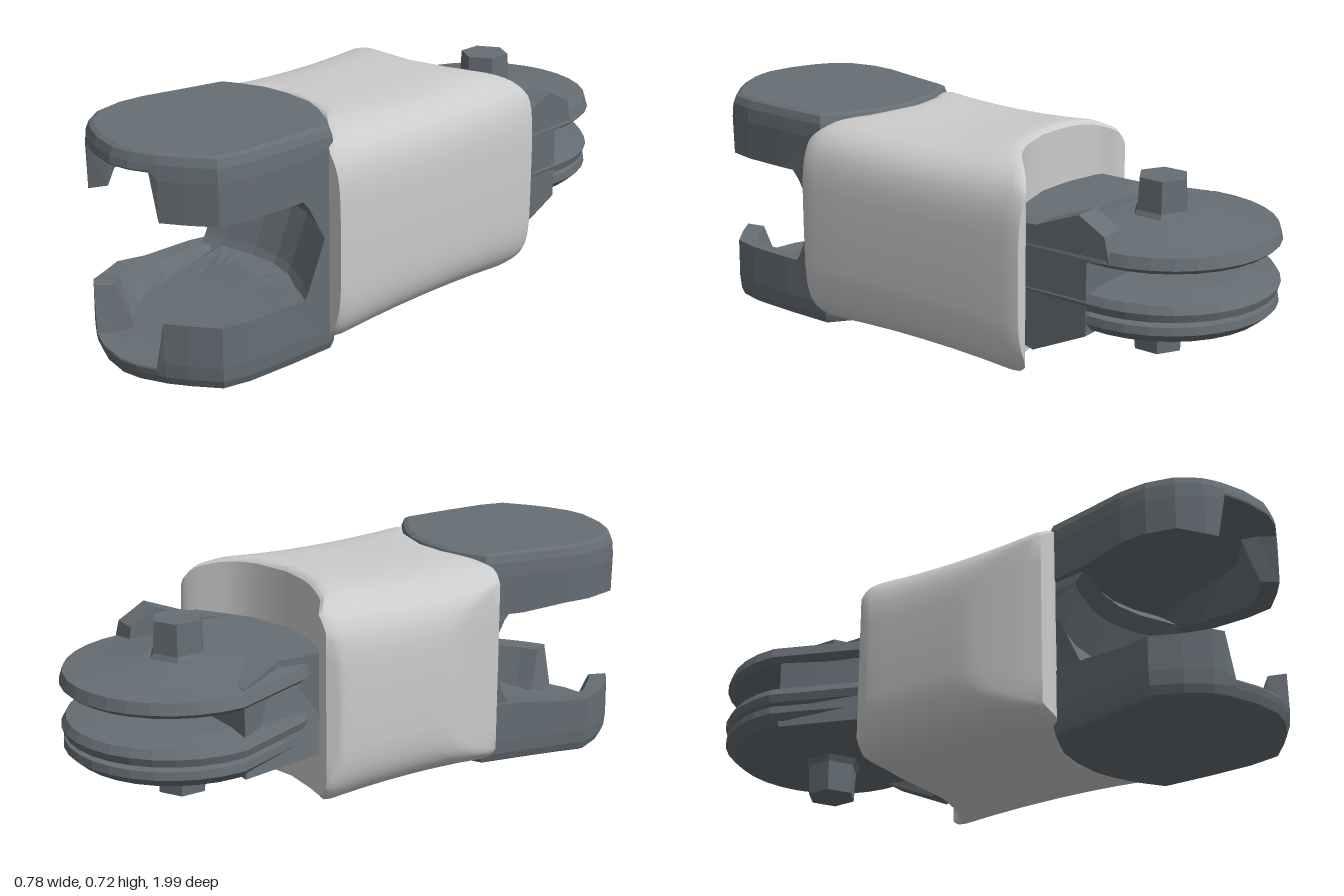
import * as THREE from 'three';
import { toCreasedNormals } from 'three/addons/utils/BufferGeometryUtils.js';

const dark = new THREE.MeshStandardMaterial({ color: 0x666e74, flatShading: true });
const grey = new THREE.MeshStandardMaterial({ color: 0xcccccc });

// Skin a list of equal-length rings, optionally closing each end on its middle point
function loft(rings, capped = true) {
  const n = rings[0].length, pos = rings.flat(2), index = [];
  const at = (i, j) => i * n + (j % n);
  for (let i = 0; i < rings.length - 1; i++)
    for (let j = 0; j < n; j++)
      index.push(at(i, j), at(i, j + 1), at(i + 1, j + 1), at(i, j), at(i + 1, j + 1), at(i + 1, j));
  for (const i of capped ? [0, rings.length - 1] : []) {
    const c = pos.length / 3;
    for (let k = 0; k < 3; k++) pos.push(rings[i].reduce((s, p) => s + p[k], 0) / n);
    for (let j = 0; j < n; j++) {
      if (i === 0) index.push(c, at(i, j + 1), at(i, j));
      else index.push(c, at(i, j), at(i, j + 1));
    }
  }
  const g = new THREE.BufferGeometry();
  g.setAttribute('position', new THREE.Float32BufferAttribute(pos, 3));
  g.setIndex(index);
  g.computeVertexNormals();
  return g;
}

// Piecewise linear lookup in [x, value] pairs
function lookup(table, x) {
  for (let i = 1; i < table.length; i++) {
    const [x0, v0] = table[i - 1], [x1, v1] = table[i];
    if (x <= x1) return v0 + (v1 - v0) * Math.max(0, (x - x0) / (x1 - x0));
  }
  return table[table.length - 1][1];
}

// Scale an [x, z] outline about a centre
const scaled = (outline, [cx, cz], s) => outline.map(([x, z]) => [cx + (x - cx) * s, cz + (z - cz) * s]);

// Side profile of [distance behind centre, y] points, extruded across x
function sideSlab(points, x0, x1) {
  const shape = new THREE.Shape(points.map(q => new THREE.Vector2(...q)));
  return new THREE.ExtrudeGeometry(shape, { depth: x1 - x0, bevelEnabled: false })
    .rotateY(Math.PI / 2).translate(x0, 0, 0);
}

// Rounded block with hollowed ends
function sleeveGeometry() {
  const back = [[-0.36, -0.26], [-0.33, -0.3], [-0.29, -0.3], [-0.24, -0.26], [-0.12, -0.23], [0, -0.22],
    [0.12, -0.24], [0.22, -0.29], [0.33, -0.39], [0.36, -0.41], [0.39, -0.4]];
  const front = [[-0.36, 0.14], [-0.335, 0.27], [-0.31, 0.37], [-0.26, 0.39], [-0.2, 0.36], [-0.1, 0.31], [0, 0.295],
    [0.1, 0.31], [0.2, 0.35], [0.28, 0.42], [0.34, 0.46], [0.39, 0.46]];
  const N = 64;
  const ring = (t, size, capY) => {
    const r = [];
    for (let j = 0; j < N; j++) {
      const a = (j / N) * Math.PI * 2, c = Math.cos(a), s = Math.sin(a), e = c < 0 ? 0.54 : 0.44;
      const x = 0.015 + 0.375 * Math.sign(c) * Math.abs(c) ** e * (0.7 + 0.3 * size);
      const y = Math.sign(s) * Math.abs(s) ** 0.44;
      const waist = 0.34 + 0.018 * (2 * t - 1) ** 2;
      r.push([x, 0.363 + y * waist * size * capY, lookup(back, x) * (1 - t) + lookup(front, x) * t]);
    }
    return r;
  };
  const rings = [[0, 0.95], [0.02, 0.985], [0.06, 1], [0.2, 1], [0.35, 1], [0.5, 1], [0.65, 1], [0.8, 1],
    [0.94, 1], [0.98, 0.985], [1, 0.95]].map(([t, s]) => ring(t, s, 1));
  // The hollow ends fold shut on the middle line
  for (const k of [0.7, 0.35, 0]) {
    rings.unshift(ring(0, 0.95, k));
    rings.push(ring(1, 0.95, k));
  }
  return toCreasedNormals(loft(rings, false), 0.7);
}

// Fork plate: rounded outside, scooped inside and open towards the front
function forkPlate(upper) {
  const tip = upper ? -0.31 : -0.33, rise = upper ? 0.11 : 0.15;
  const outline = [[-0.24, 0.36], [-0.27, 0.5], [-0.305, 0.65], [tip, 0.74], [-0.29, 0.83], [-0.24, 0.9],
    [-0.205, 0.925], [-0.18, 0.94], [-0.1, 0.975], [0, 0.995], [0.07, 0.985], [0.13, 0.96], [0.155, 0.95],
    [0.22, 0.91], [0.3, 0.85], [0.32, 0.76], [0.327, 0.6], [0.327, 0.43],
    [0.25, 0.37], [0.17, 0.325], [0.1, 0.3], [0, 0.29], [-0.1, 0.3], [-0.18, 0.33]];
  const mid = [0, 0.64];
  const level = (s, y) => scaled(outline, mid, s).map(([x, z]) => [x, y, z]);
  // Rim height drops across the front opening
  const rim = (s, dy) => scaled(outline, mid, s).map(([x, z], j) => {
    const [ox, oz] = outline[j];
    const open = ox > -0.2 && ox < 0.14 && oz > 0.6;
    return [x, (open ? 0.06 : ox < -0.28 ? 0.19 : 0.207) - dy, z];
  });
  // Floor rises from the front towards the wall
  const floor = s => scaled(outline, mid, s).map(([x, z]) =>
    [x, 0.055 + rise * Math.min(1, Math.max(0, (0.9 - z) / 0.42)) ** 1.3, z]);
  let rings = [level(0.92, 0.003), level(0.96, 0.01), level(0.988, 0.035), level(1, 0.08),
    rim(0.995, 0), rim(0.83, 0.005), floor(0.68), floor(0.4), floor(0.15)];
  // Keep the outer wall below the rim at the opening
  rings[3].forEach((p, j) => { p[1] = Math.min(p[1], rings[4][j][1] - 0.005); });
  if (upper) rings = rings.map(r => r.map(([x, y, z]) => [x, 0.725 - y, z])).reverse();
  return loft(rings);
}

// Rear disc from [scale, height] steps
function discGeometry(steps) {
  const outline = [];
  for (let k = 0; k <= 16; k++) {
    const a = Math.PI * (1.02 - (k / 16) * 1.0);
    outline.push([-0.035 + 0.357 * Math.cos(a), -0.64 - 0.358 * Math.sin(a)]);
  }
  outline.push([0.32, -0.38], [0.2, -0.25], [-0.2, -0.25], [-0.28, -0.34]);
  outline.reverse();
  return loft(steps.map(([s, y]) => scaled(outline, [-0.03, -0.63], s).map(([x, z]) => [x, y, z])));
}

export function createModel() {
  const model = new THREE.Group();
  const add = (name, geometry, material = dark) => {
    const mesh = new THREE.Mesh(geometry, material);
    mesh.name = name;
    model.add(mesh);
    return mesh;
  };

  add('sleeve', sleeveGeometry(), grey);
  add('lowerForkPlate', forkPlate(false));
  add('upperForkPlate', forkPlate(true));

  // Curved wall between the fork plates
  const wall = [[-0.235, 0.39], [-0.17, 0.365], [-0.05, 0.34], [0.05, 0.34], [0.14, 0.365], [0.25, 0.42],
    [0.327, 0.47], [0.327, 0.32], [0.1, 0.2], [-0.2, 0.2]];
  add('forkWall', loft([[0.06, 0], [0.18, 0.1], [0.225, 0.07], [0.38, 0], [0.49, 0.06], [0.535, 0.1], [0.66, 0]]
    .map(([y, dz]) => wall.map(([x, z]) => [x, y, z > 0.33 ? z + dz : z]))));

  // Neck carrying the discs, widened towards them on one side
  const neck = sideSlab([[0.18, 0.2], [0.42, 0.2], [0.6, 0.22], [0.6, 0.5], [0.42, 0.52], [0.18, 0.52]], -0.25, 0.3);
  const p = neck.attributes.position;
  for (let i = 0; i < p.count; i++) if (p.getX(i) < 0 && p.getZ(i) < -0.5) p.setX(i, -0.36);
  neck.computeVertexNormals();
  add('neck', neck);

  // Pointed lug along the other side of the neck
  add('sideLug', sideSlab([[0.3, 0.16], [0.41, 0.13], [0.6, 0.22], [0.6, 0.45], [0.68, 0.46], [0.66, 0.54],
    [0.57, 0.59], [0.42, 0.53], [0.3, 0.52]], 0.23, 0.318));

  add('upperDisc', discGeometry([[0.3, 0.46], [0.8, 0.455], [0.95, 0.445], [1, 0.46], [0.97, 0.495],
    [0.7, 0.505], [0.3, 0.525]]));
  add('lowerDisc', discGeometry([[0.3, 0.21], [0.6, 0.22], [0.9, 0.23], [0.99, 0.26], [0.98, 0.285], [0.9, 0.29],
    [0.98, 0.3], [1, 0.325], [0.96, 0.35], [0.7, 0.36], [0.3, 0.355]]));

  // Axle stubs with flared feet, above and below the discs
  const stub = [[0.11, 0], [0.085, 0.04], [0.08, 0.14], [0, 0.14]].map(q => new THREE.Vector2(...q));
  const stubGeometry = new THREE.LatheGeometry(stub, 6);
  add('upperAxleStub', stubGeometry).position.set(-0.03, 0.5, -0.635);
  const lowerStub = add('lowerAxleStub', stubGeometry);
  lowerStub.position.set(-0.03, 0.23, -0.635);
  lowerStub.rotation.x = Math.PI;
  return model;
}
